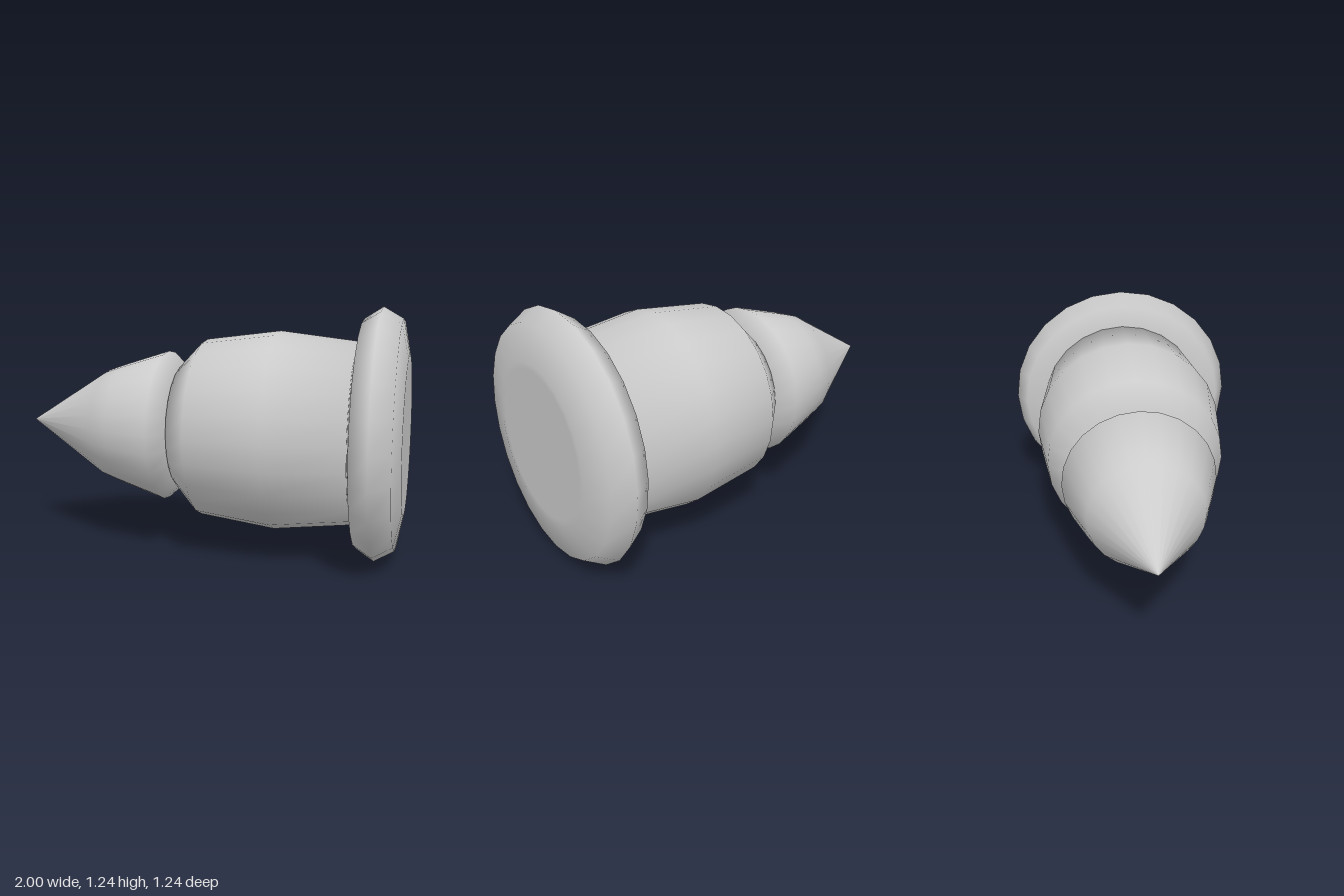
import * as THREE from 'three';

const SIDES = 24;
const AXIS_HEIGHT = 0.624;

export function createModel() {
  const model = new THREE.Group();
  model.name = 'projectile';
  const material = new THREE.MeshStandardMaterial({ color: 0xcccccc });

  // Turns a profile of [x, radius] pairs around the horizontal axis
  function addTurned(name, profile) {
    const points = profile.map(([x, r]) => new THREE.Vector2(r, x));
    const geometry = new THREE.LatheGeometry(points, SIDES);
    geometry.rotateZ(-Math.PI / 2);
    const mesh = new THREE.Mesh(geometry, material);
    mesh.name = name;
    mesh.position.y = AXIS_HEIGHT;
    model.add(mesh);
  }

  // Pointed nose with a bevelled back edge
  addTurned('nose', [
    [-1, 0], [-0.55, 0.282], [-0.46, 0.313], [-0.22, 0.388], [-0.13, 0.305], [-0.1, 0],
  ]);

  // Barrel-shaped body, chamfered towards the nose
  addTurned('body', [
    [-0.135, 0], [-0.135, 0.325], [-0.01, 0.453], [0.37, 0.5], [0.76, 0.453], [0.8, 0],
  ]);

  // Rounded rim with a flat base
  addTurned('rim', [
    [0.755, 0], [0.755, 0.395], [0.78, 0.565], [0.87, 0.622], [0.967, 0.565],
    [1, 0.395], [1, 0.36], [1, 0],
  ]);

  return model;
}
